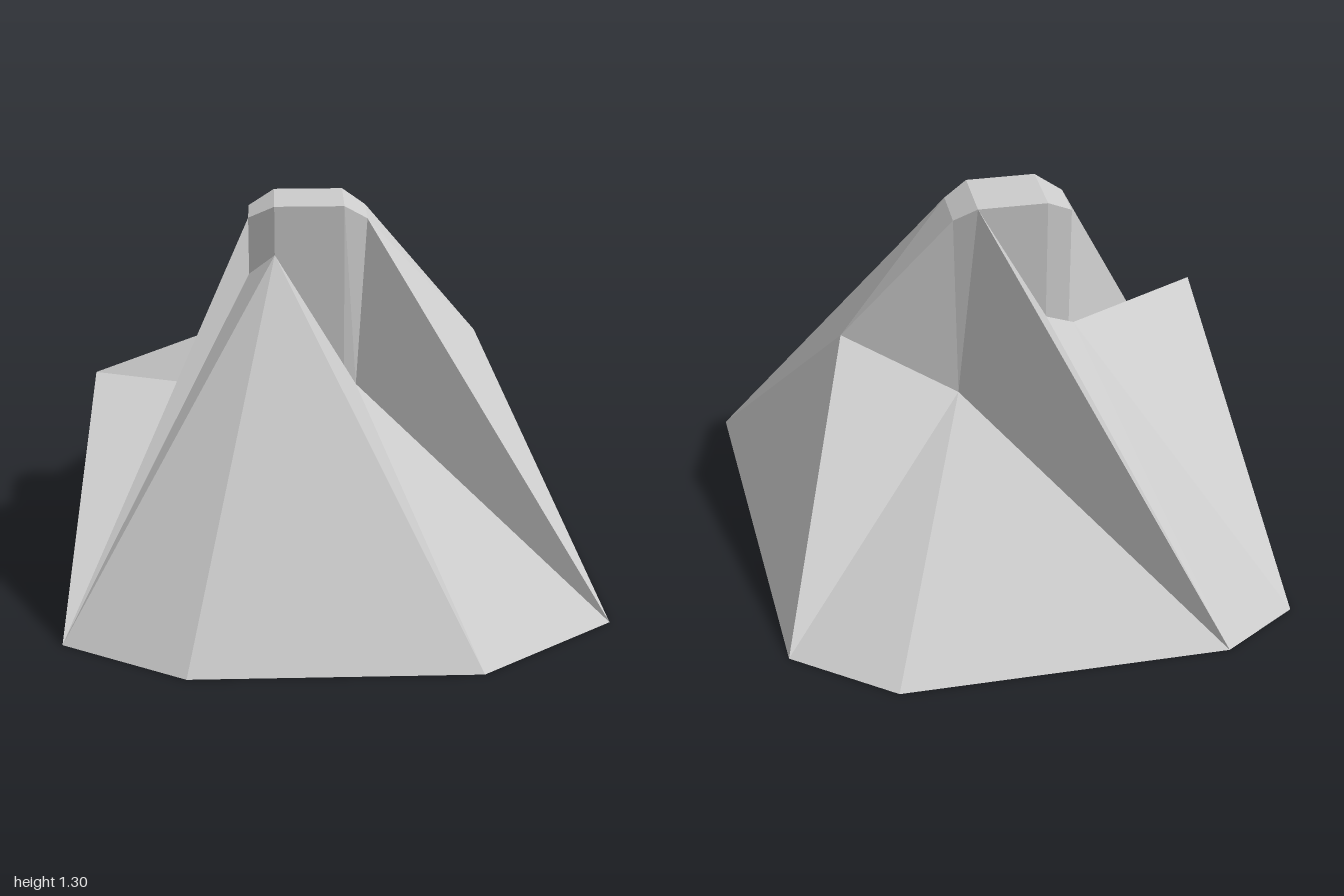
import * as THREE from 'three';
import { ConvexGeometry } from 'three/addons/geometries/ConvexGeometry.js';

const material = new THREE.MeshStandardMaterial({
  color: 0xcccccc, flatShading: true, side: THREE.DoubleSide,
});

// Corner points, [x, y, z]
const P = {
  // ground outline
  backLeftA: [0.81, 0, -0.76], backLeftB: [0.47, 0, -1],
  backRightB: [-0.66, 0, -1], backRightA: [-0.93, 0, -0.84],
  frontRightA: [-0.92, 0, 0.77], frontRightB: [-0.5, 0, 1],
  frontLeftB: [0.46, 0, 1], frontLeftA: [0.92, 0, 0.68],
  // outlying peaks
  leftPeak: [0.51, 0.8, -0.03], rightPeak: [-0.82, 0.75, 0.21],
  // where the slopes meet the core
  frontApex: [-0.2, 1.13, 0.1], frontNotch: [0.08, 0.66, 0.13],
  frontSide: [-0.29, 1.05, 0.06], rightValley: [-0.29, 0.55, -0.09],
  rightRidge: [-0.3, 0.82, -0.13], backSeam: [-0.2, 0.86, -0.14],
  backNotch: [0.11, 0.57, -0.12],
  // rim of the core
  rimBack: [0.04, 1.3, -0.13], rimBackLeft: [0.12, 1.25, -0.1],
  rimFrontLeft: [0.12, 1.25, 0.07], rimFront: [0.04, 1.3, 0.09],
  rimFrontRight: [-0.29, 1.25, 0.05],
};

// Fan-triangulated faces, each turned to look up (1) or down (-1)
function faces(name, up, list) {
  const pos = [];
  for (const face of list) {
    const pts = face.split(' ').map((k) => new THREE.Vector3(...P[k]));
    for (let i = 1; i < pts.length - 1; i++) {
      const t = new THREE.Triangle(pts[0], pts[i], pts[i + 1]);
      const n = t.getNormal(new THREE.Vector3());
      const order = n.y * up < 0 ? [t.a, t.c, t.b] : [t.a, t.b, t.c];
      for (const v of order) pos.push(v.x, v.y, v.z);
    }
  }
  const g = new THREE.BufferGeometry();
  g.setAttribute('position', new THREE.Float32BufferAttribute(pos, 3));
  g.computeVertexNormals();
  const mesh = new THREE.Mesh(g, material);
  mesh.name = name;
  return mesh;
}

// Eight-sided core with bevelled shoulders
function makeCore() {
  const ring = [
    [-0.2, 1.3, -0.13], [0.04, 1.3, -0.13], [0.12, 1.25, -0.1], [0.12, 1.25, 0.07],
    [0.04, 1.3, 0.09], [-0.2, 1.3, 0.09], [-0.29, 1.25, 0.05], [-0.29, 1.25, -0.1],
  ];
  const pts = [];
  for (const [x, y, z] of ring) {
    pts.push(new THREE.Vector3(x, y, z), new THREE.Vector3(x, 0.5, z));
  }
  const mesh = new THREE.Mesh(new ConvexGeometry(pts), material);
  mesh.name = 'summitCore';
  return mesh;
}

export function createModel() {
  const group = new THREE.Group();
  group.name = 'rockMound';
  group.add(
    makeCore(),
    faces('base', -1, [
      'backLeftA backLeftB backRightB backRightA frontRightA frontRightB frontLeftB frontLeftA',
    ]),
    faces('frontSlope', 1, [
      'frontRightB frontLeftB frontApex',
      'frontLeftB frontNotch frontApex',
      'frontRightA frontRightB frontApex',
      'frontRightA frontApex frontSide',
      'frontRightA frontSide rimFrontRight',
      'frontLeftB frontLeftA frontNotch',
      'frontLeftA rimFrontLeft frontNotch',
      'rimFrontLeft rimFront frontNotch',
    ]),
    faces('leftSlope', 1, [
      'frontLeftA backLeftA leftPeak',
      'frontLeftA leftPeak rimFrontLeft',
      'leftPeak rimBackLeft rimFrontLeft',
      'leftPeak backNotch rimBackLeft',
      'backLeftA backNotch leftPeak',
    ]),
    faces('backSlope', 1, [
      'backLeftA backLeftB backNotch',
      'backLeftB backRightB backNotch',
      'backRightB rimBack backNotch',
      'backRightB backSeam rimBack',
      'backRightB rightRidge backSeam',
      'backRightB backRightA rightRidge',
      'backRightA rightPeak rightRidge',
    ]),
    faces('rightSlope', 1, [
      'backRightA frontRightA rightPeak',
      'rightPeak rightValley rightRidge',
      'frontRightA rightValley rightPeak',
      'frontRightA rimFrontRight rightValley',
    ]),
  );
  return group;
}
